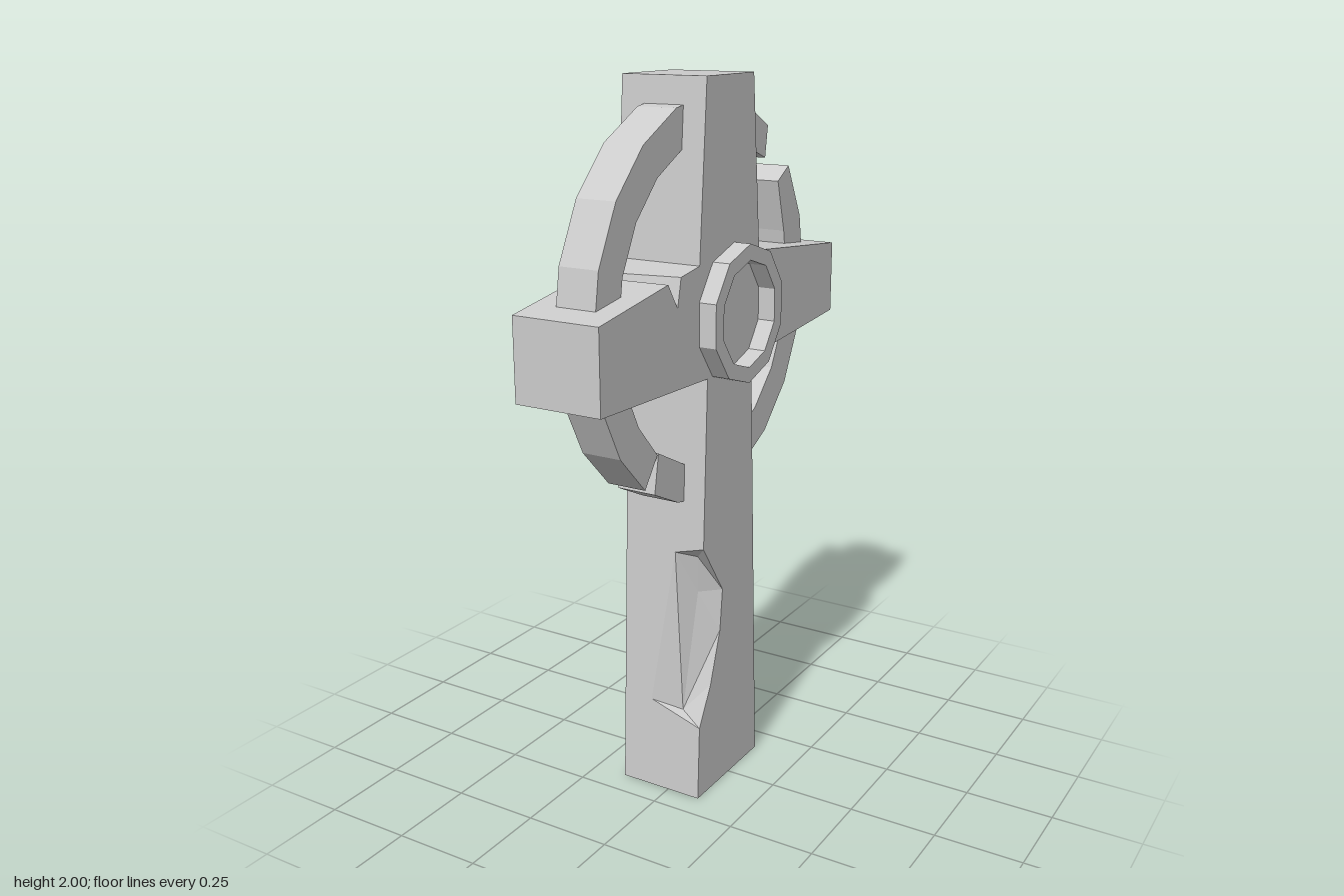
import * as THREE from 'three';

const FRONT = 0.10, BACK = -0.15; // x of the two broad faces
const material = new THREE.MeshStandardMaterial({ color: 0xcccccc, flatShading: true });
const V = (x, y, z) => new THREE.Vector3(x, y, z);

// Adds a flat polygon to the position list, turned to face along n
function face(out, pts, n) {
  const flat = pts.map(p => Math.abs(n.x) > Math.abs(n.z) ? new THREE.Vector2(p.z, p.y) : new THREE.Vector2(p.x, p.y));
  const tris = pts.length === 3 ? [[0, 1, 2]] : THREE.ShapeUtils.triangulateShape(flat, []);
  for (const t of tris) {
    const [a, b, c] = t.map(i => pts[i]);
    const normal = b.clone().sub(a).cross(c.clone().sub(a));
    for (const p of normal.dot(n) > 0 ? [a, b, c] : [a, c, b]) out.push(p.x, p.y, p.z);
  }
}

// Extrudes a (z, y) shape between two x positions
function slab(name, shape, x0, x1) {
  const g = new THREE.ExtrudeGeometry(shape, { depth: x1 - x0, bevelEnabled: false });
  g.rotateY(-Math.PI / 2).translate(x1, 0, 0);
  const mesh = new THREE.Mesh(g, material);
  mesh.name = name;
  return mesh;
}

function polar(cz, cy, r, deg) {
  const a = THREE.MathUtils.degToRad(deg);
  return new THREE.Vector2(cz + r * Math.cos(a), cy + r * Math.sin(a));
}

// Tapered cross with a crack in one arm and a chipped lower edge
function crossBody() {
  const outline = [
    [0.175, 0], [-0.165, 0], [-0.113, 1.24], [-0.61, 1.28], [-0.61, 1.485], [-0.15, 1.53],
    [-0.11, 2], [0.13, 2], [0.165, 1.535],
    [0.255, 1.521], [0.272, 1.445], [0.315, 1.512], // crack
    [0.615, 1.465], [0.615, 1.245], [0.125, 1.23],
  ];
  const right = outline.map(([z, y]) => V(FRONT, y, z));
  const left = outline.map(([z, y]) => V(BACK, y, z));
  // the crack runs at a slant through the arm
  left[9].set(BACK, 1.517, 0.285);
  left[10].set(BACK, 1.455, 0.302);
  left[11].set(BACK, 1.511, 0.322);

  // chip: rim on the stem's edge and faces, then the inner crease
  const A = V(FRONT, 0.755, 0.1443), B = V(0.01, 0.73, 0.1453), C = V(-0.06, 0.27, 0.164), D = V(FRONT, 0.22, 0.166);
  const E = V(FRONT, 0.60, 0.04), G = V(FRONT, 0.48, 0.053), F = V(FRONT, 0.33, 0.105);
  const P = V(0.055, 0.71, 0.10), R = V(0.05, 0.60, 0.09), Q = V(0.03, 0.25, 0.14);

  const pos = [], last = outline.length - 1;
  face(pos, [...right, A, E, G, F, D], V(1, 0, 0));
  face(pos, left, V(-1, 0, 0));
  for (let i = 0; i < last; i++) {
    const a = right[i], b = right[i + 1], c = left[i + 1], d = left[i];
    const n = V(0, b.z - a.z, a.y - b.y);
    face(pos, [a, b, c], n);
    face(pos, [a, c, d], n);
  }
  face(pos, [right[0], D, C, B, A, right[last], left[last], left[0]], V(0, 0, 1));
  const chip = [
    [A, B, P], [B, C, Q], [B, Q, R], [B, R, P], [C, D, Q],
    [A, P, E], [P, R, E], [R, G, E], [R, Q, G], [Q, F, G], [Q, D, F],
  ];
  for (const t of chip) face(pos, t, V(1, 0, 1));

  const g = new THREE.BufferGeometry();
  g.setAttribute('position', new THREE.Float32BufferAttribute(pos, 3));
  g.computeVertexNormals();
  const mesh = new THREE.Mesh(g, material);
  mesh.name = 'crossBody';
  return mesh;
}

// Broken ring: a run of 18 degree steps, with some corners moved at the breaks
function ringPiece(name, k0, k1, outerFix = {}, innerFix = {}) {
  const outer = [], inner = [];
  for (let k = k0; k <= k1; k++) {
    outer.push(outerFix[k] ? new THREE.Vector2(...outerFix[k]) : polar(0, 1.405, 0.545, k * 18));
    inner.push(innerFix[k] ? new THREE.Vector2(...innerFix[k]) : polar(0, 1.405, 0.44, k * 18));
  }
  return slab(name, new THREE.Shape([...outer, ...inner.reverse()]), -0.08, 0.035);
}

// Ten-sided raised rim
function medallion() {
  const decagon = r => Array.from({ length: 10 }, (_, i) => polar(-0.012, 1.383, r, 90 + i * 36));
  const shape = new THREE.Shape(decagon(0.188));
  shape.holes.push(new THREE.Path(decagon(0.145).reverse()));
  return slab('medallionRim', shape, FRONT, 0.15);
}

export function createModel() {
  const group = new THREE.Group();
  group.name = 'ringedStoneCross';
  group.add(
    crossBody(),
    medallion(),
    ringPiece('ringTop', 0, 7, { 7: [-0.312, 1.847] }, { 7: [-0.298, 1.76] }),
    ringPiece('ringBack', 8, 17, { 17: [0.285, 0.944] }, { 8: [-0.378, 1.687], 17: [0.265, 1.053] }),
    ringPiece('ringLowerFront', 17, 20, { 17: [0.33, 0.97] }, { 17: [0.27, 1.05] }),
  );
  return group;
}
